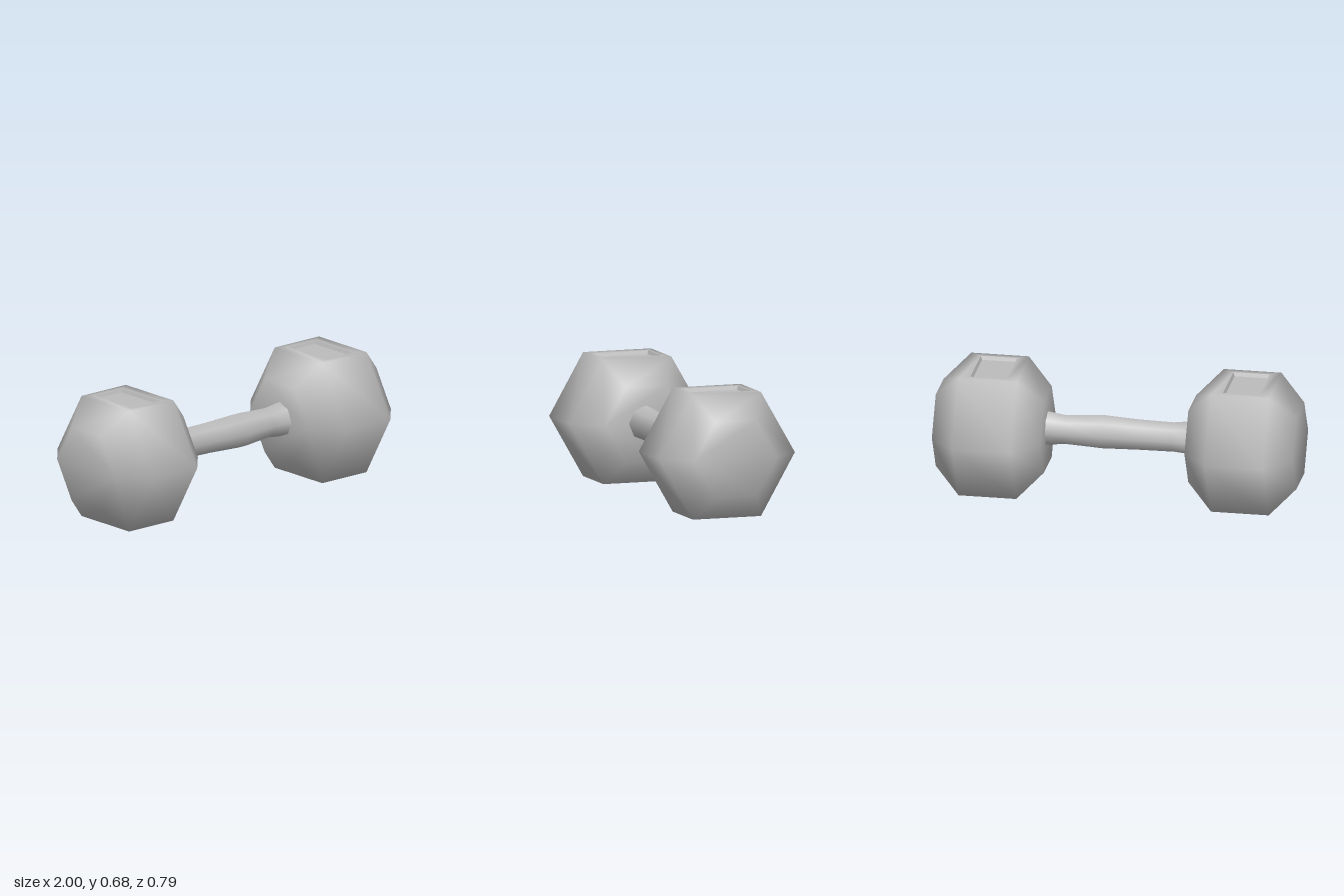
import * as THREE from 'three';

const AXIS_Y = 0.342;

// Skin polygon rings [x, radius, zShift, yShift] strung along the x axis.
function loft(rings, sides, skip = () => false) {
  const positions = [], index = [];
  for (const [x, r, dz = 0, dy = 0] of rings) {
    for (let k = 0; k < sides; k++) {
      const a = (k / sides) * Math.PI * 2;
      positions.push(x, AXIS_Y + dy + r * Math.sin(a), dz + r * Math.cos(a));
    }
  }
  for (let i = 0; i < rings.length - 1; i++) {
    for (let k = 0; k < sides; k++) {
      if (skip(i, k)) continue;
      const n = (k + 1) % sides;
      const a = i * sides + k, b = i * sides + n, c = a + sides, d = b + sides;
      index.push(a, c, b, b, c, d);
    }
  }
  return { positions, index };
}

function toGeometry({ positions, index }) {
  const g = new THREE.BufferGeometry();
  g.setAttribute('position', new THREE.Float32BufferAttribute(positions, 3));
  g.setIndex(index);
  return g;
}

// Upward-facing band between two four-corner loops (outer and inner).
function frame(index, outer, inner) {
  for (let i = 0; i < 4; i++) {
    const j = (i + 1) % 4;
    index.push(outer[i], inner[j], outer[j], outer[i], inner[i], inner[j]);
  }
}

function rectangle(cx, y, halfX, halfZ) {
  return [
    cx - halfX, y, halfZ, cx - halfX, y, -halfZ,
    cx + halfX, y, -halfZ, cx + halfX, y, halfZ,
  ];
}

// Chamfered hexagonal weight with a rectangular opening in its top face.
function createHead(cx, material) {
  const top = AXIS_Y * 2;
  const rings = [[-0.3, 0.24], [-0.16, 0.395], [0.16, 0.395], [0.3, 0.24]].map(([x, r]) => [cx + x, r]);
  const shell = loft(rings, 6, (i, k) => i === 1 && k === 1);
  for (let k = 1; k < 5; k++) {
    shell.index.push(0, k, k + 1, 18, 18 + k + 1, 18 + k);
  }
  shell.positions.push(...rectangle(cx, top, 0.1, 0.16));
  frame(shell.index, [7, 8, 14, 13], [24, 25, 26, 27]);
  const shellGeometry = toGeometry(shell);
  shellGeometry.computeVertexNormals();
  const body = new THREE.Mesh(shellGeometry, material);
  body.name = 'hexWeight';

  // Sunken panel: sloping walls and a flat floor
  const panel = {
    positions: [...rectangle(cx, top, 0.1, 0.16), ...rectangle(cx, top - 0.02, 0.092, 0.152)],
    index: [4, 7, 6, 4, 6, 5],
  };
  frame(panel.index, [0, 1, 2, 3], [4, 5, 6, 7]);
  const panelGeometry = toGeometry(panel).toNonIndexed();
  panelGeometry.computeVertexNormals();
  const recess = new THREE.Mesh(panelGeometry, material);
  recess.name = 'topRecess';

  const head = new THREE.Group();
  head.add(body, recess);
  return head;
}

export function createModel() {
  const model = new THREE.Group();
  model.name = 'dumbbell';
  const castIron = new THREE.MeshStandardMaterial({ color: 0xbcbcbc });
  castIron.name = 'cast iron grey';

  for (const side of [-1, 1]) {
    const head = createHead(side * 0.7, castIron);
    head.name = side > 0 ? 'leftHead' : 'rightHead';
    model.add(head);
  }

  // Contoured grip, fullest just off centre
  const gripGeometry = toGeometry(loft([
    [-0.41, 0.099, 0.003, 0.004],
    [-0.3, 0.086, 0, 0.003],
    [-0.1, 0.089, 0.003, 0.003],
    [0.1, 0.098, 0.01, 0.004],
    [0.3, 0.084, 0.001, 0.005],
    [0.41, 0.099, 0.004, 0.007],
  ], 8));
  gripGeometry.computeVertexNormals();
  const grip = new THREE.Mesh(gripGeometry, castIron);
  grip.name = 'grip';
  model.add(grip);

  return model;
}
